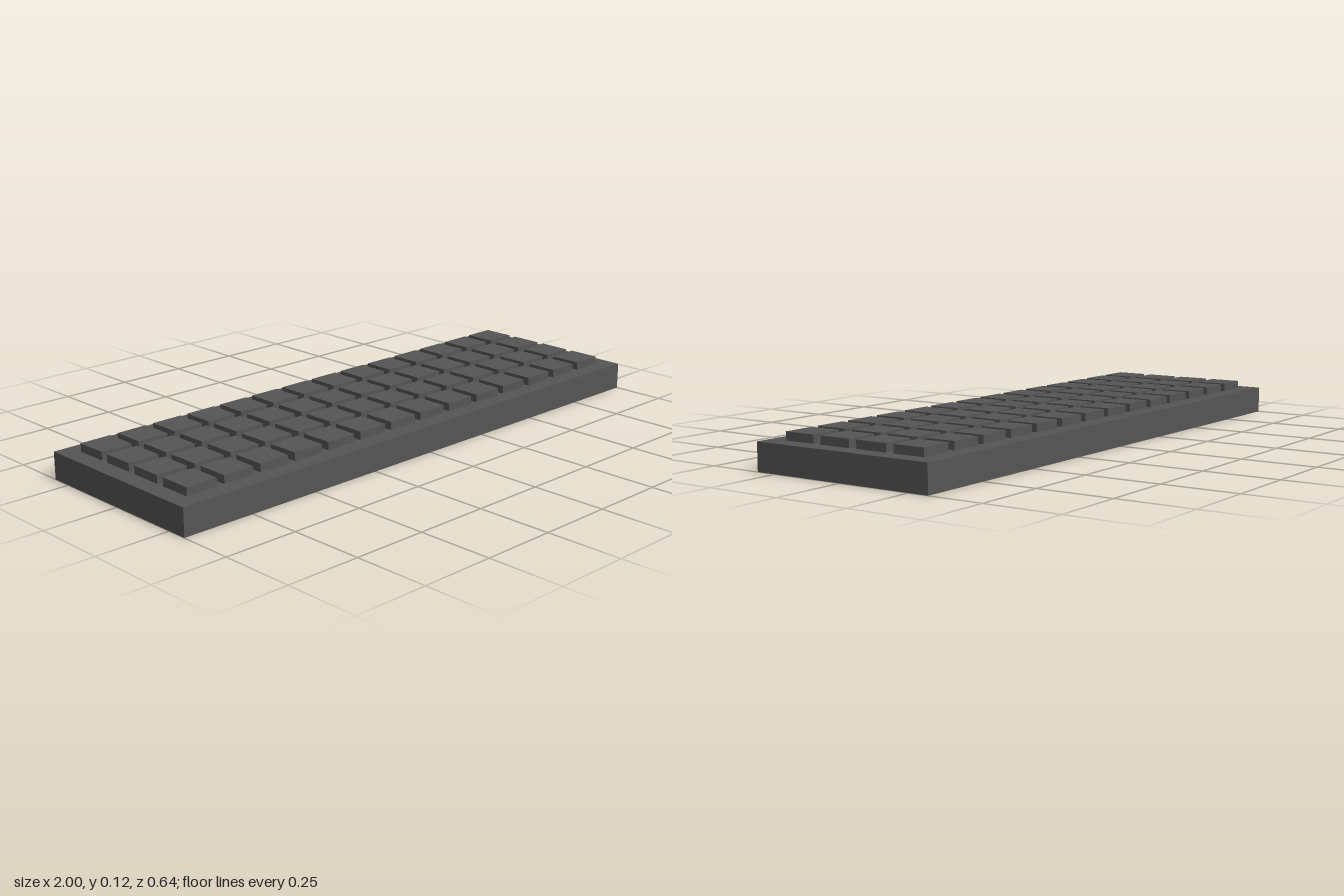
import * as THREE from 'three';

// One unit is the height of the case
const U = 1 / 11;
const COLUMNS = 14, ROWS = 4;
const PITCH = 1.5 * U, KEY = 1.2 * U, KEY_HEIGHT = 0.3 * U;

export function createModel() {
  const model = new THREE.Group();
  model.name = 'keyboard';
  const material = new THREE.MeshStandardMaterial({ color: 0x555555 });

  // Flat slab case
  const body = new THREE.Mesh(new THREE.BoxGeometry(22 * U, U, 7 * U), material);
  body.name = 'case';
  body.position.y = U / 2;
  model.add(body);

  // Even grid of square keys resting on the case
  const keys = new THREE.Group();
  keys.name = 'keys';
  const keyGeometry = new THREE.BoxGeometry(KEY, KEY_HEIGHT, KEY);
  for (let row = 0; row < ROWS; row++) {
    for (let column = 0; column < COLUMNS; column++) {
      const key = new THREE.Mesh(keyGeometry, material);
      key.name = `key row ${row + 1} column ${column + 1}`;
      key.position.set(
        (column - (COLUMNS - 1) / 2) * PITCH,
        U + KEY_HEIGHT / 2,
        (row - (ROWS - 1) / 2) * PITCH
      );
      keys.add(key);
    }
  }
  model.add(keys);
  return model;
}
